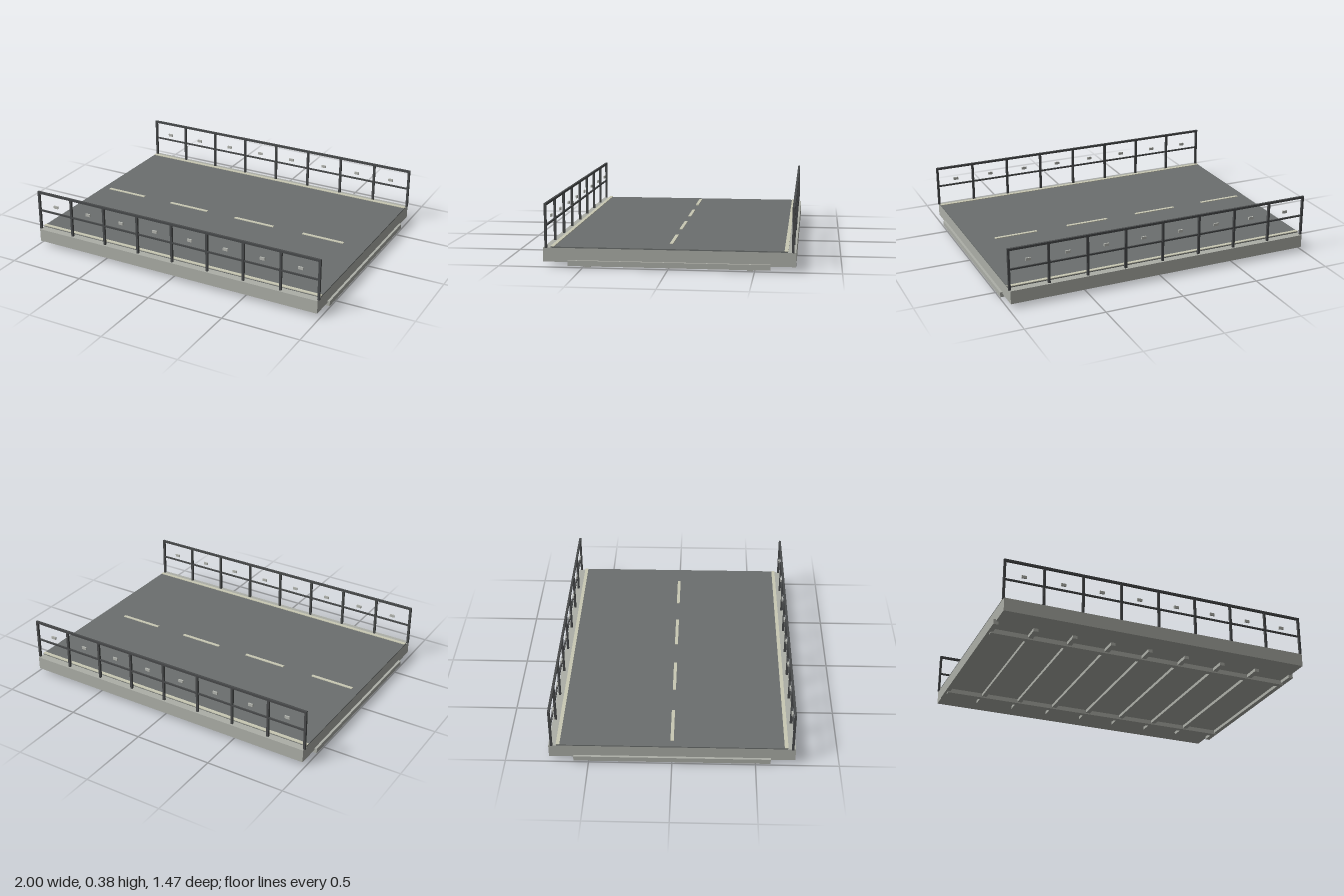
import * as THREE from 'three';

const mat = (name, color) => {
  const m = new THREE.MeshStandardMaterial({ color });
  m.name = name;
  return m;
};

export function createModel() {
  const concrete = mat('concrete', 0xacaea7);
  const asphalt = mat('asphalt', 0x6b6f6e);
  const paint = mat('road paint', 0xc9c8b4);
  const steel = mat('dark steel', 0x484a4b);
  const reflectorGrey = mat('reflector grey', 0xb4b6b0);

  const model = new THREE.Group();
  model.name = 'bridgeSection';

  // Box given by its centre x, z, its bottom y and its size
  const box = (parent, name, material, [w, h, d], [x, y, z]) => {
    const mesh = new THREE.Mesh(new THREE.BoxGeometry(w, h, d), material);
    mesh.name = name;
    mesh.position.set(x, y + h / 2, z);
    parent.add(mesh);
  };

  const bays = 8;
  const length = 1.97;
  const step = length / bays;
  const stationX = (i) => -length / 2 + i * step;

  // Deck and road surface
  box(model, 'deckSlab', concrete, [length, 0.083, 1.474], [0, 0.029, 0]);
  box(model, 'roadSurface', asphalt, [length, 0.007, 1.38], [0, 0.112, 0]);

  // Dashed centre line
  for (let i = 0; i < 4; i++) {
    box(model, 'centreDash', paint, [0.285, 0.005, 0.02], [-0.79 + i * 0.4925, 0.118, 0]);
  }

  // Cross beams and girders under the deck
  for (let i = 0; i <= bays; i++) {
    box(model, 'crossBeam', concrete, [0.03, 0.032, 1.18], [stationX(i), 0.009, 0]);
  }
  for (const side of [-1, 1]) {
    box(model, 'girder', concrete, [length, 0.034, 0.034], [0, 0, side * 0.473]);
  }

  // Edge line and railing on each side
  for (const side of [-1, 1]) {
    box(model, 'edgeLine', paint, [length, 0.005, 0.022], [0, 0.118, side * 0.681]);

    const railing = new THREE.Group();
    railing.name = side > 0 ? 'frontRailing' : 'backRailing';
    model.add(railing);
    const z = side * 0.719;
    box(railing, 'topRail', steel, [length + 0.014, 0.014, 0.014], [0, 0.361, z]);
    box(railing, 'midRail', steel, [length, 0.01, 0.01], [0, 0.238, z]);
    for (let i = 0; i <= bays; i++) {
      box(railing, 'post', steel, [0.014, 0.258, 0.014], [stationX(i), 0.112, z]);
    }
    for (let i = 0; i < bays; i++) {
      box(railing, 'reflector', reflectorGrey, [0.032, 0.017, 0.009],
        [stationX(i + 0.5), 0.276, side * 0.712]);
    }
  }

  return model;
}
